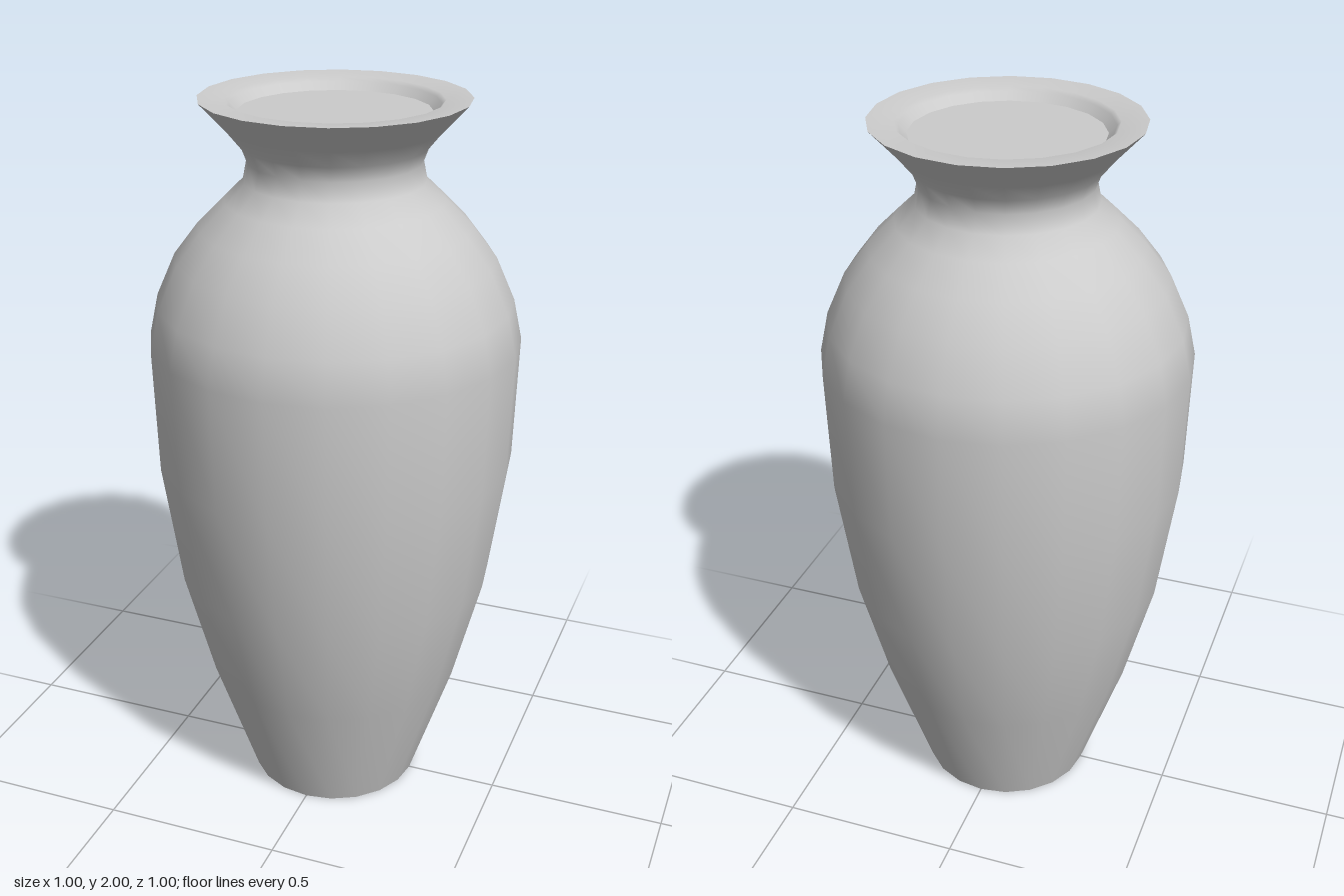
import * as THREE from 'three';

const SIDES = 20;

export function createModel() {
  const group = new THREE.Group();
  group.name = 'vase';
  const material = new THREE.MeshStandardMaterial({ color: 0xcccccc });

  // Each profile runs as [radius, height]; separate lathes keep the edges between them sharp.
  function addLathe(name, profile) {
    const points = profile.map(([r, y]) => new THREE.Vector2(r, y));
    const mesh = new THREE.Mesh(new THREE.LatheGeometry(points, SIDES), material);
    mesh.name = name;
    group.add(mesh);
  }

  // Flat underside
  addLathe('base', [[0, 0], [0.24, 0]]);

  // Tapered belly, rounded shoulder, narrow neck and flared mouth
  addLathe('body', [
    [0.24, 0], [0.36, 0.36], [0.44, 0.67], [0.49, 1.02], [0.5, 1.36],
    [0.476, 1.47], [0.425, 1.585], [0.36, 1.67], [0.29, 1.74], [0.238, 1.79],
    [0.228, 1.84], [0.243, 1.88], [0.28, 1.925], [0.35, 2],
  ]);

  // Flat lip stepping down into the mouth
  addLathe('lip', [[0.35, 2], [0.28, 1.995], [0.27, 1.985], [0.25, 1.965]]);

  // Shallow closed floor of the mouth
  addLathe('mouthFloor', [[0.25, 1.965], [0, 1.965]]);

  return group;
}
